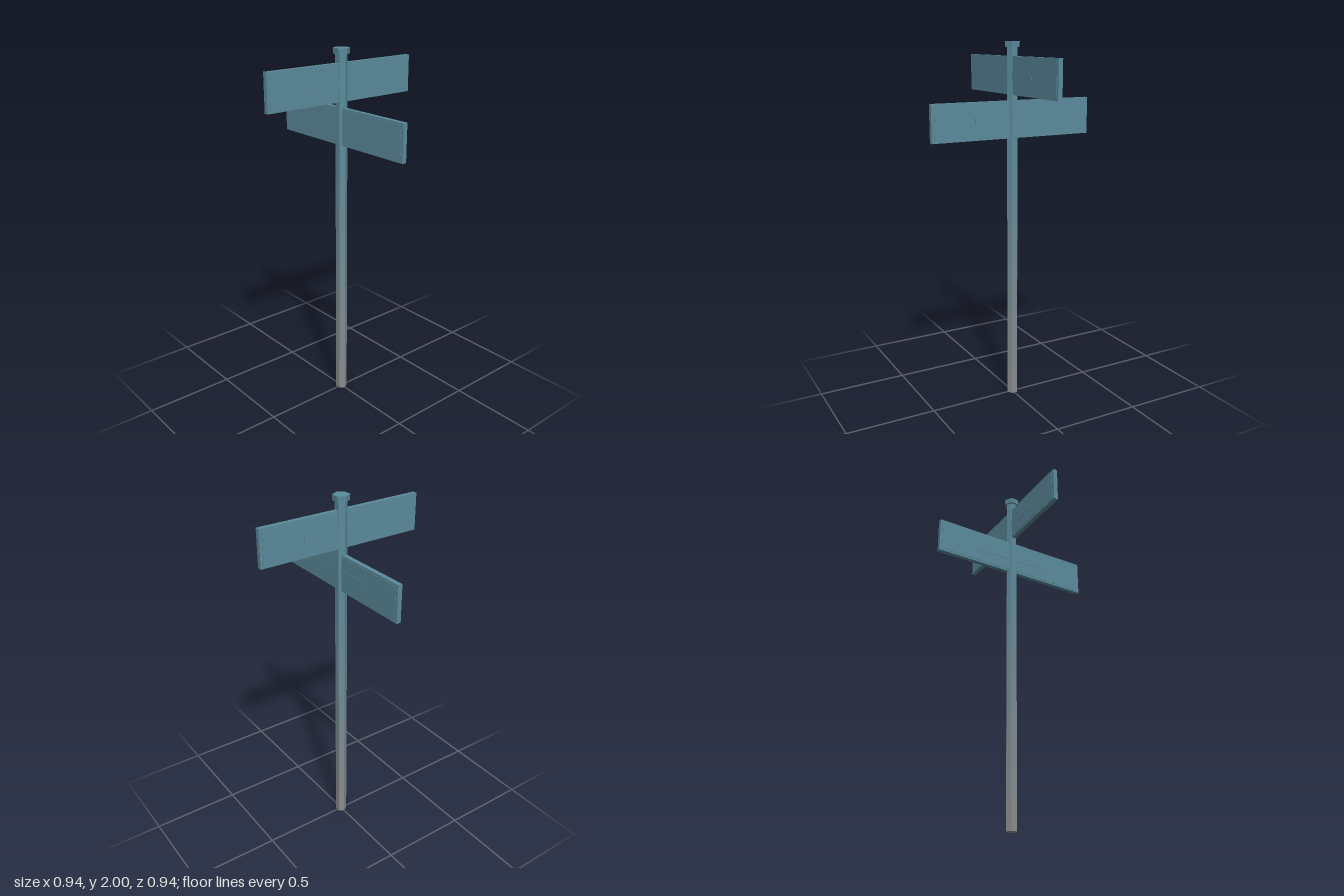
import * as THREE from 'three';

const BLUE = new THREE.Color(0x5b8b9c);
const GREY = new THREE.Color(0x8c8c8c);

const paint = (color) => new THREE.MeshStandardMaterial({ color, flatShading: true });

function addMesh(parent, name, geometry, material, y = 0) {
  const mesh = new THREE.Mesh(geometry, material);
  mesh.name = name;
  mesh.position.y = y;
  parent.add(mesh);
  return mesh;
}

// Street blade: thin core, raised face panel and a slightly prouder name strip
function signBoard(name, material) {
  const board = new THREE.Group();
  board.name = name;
  addMesh(board, 'boardCore', new THREE.BoxGeometry(0.945, 0.2, 0.025), material);
  addMesh(board, 'facePanel', new THREE.BoxGeometry(0.912, 0.178, 0.029), material);
  addMesh(board, 'nameStrip', new THREE.BoxGeometry(0.45, 0.04, 0.032), material);
  return board;
}

export function createModel() {
  const model = new THREE.Group();
  model.name = 'signpost';
  const blue = paint(BLUE);

  // Hexagonal pole, stacked in short lengths that fade from grey to blue
  const pole = new THREE.Group();
  pole.name = 'pole';
  const radius = 0.032, top = 1.975, steps = 12, h = top / steps;
  for (let i = 0; i < steps; i++) {
    const fade = Math.min(1, (i + 0.5) / (steps * 0.75));
    const color = GREY.clone().lerp(BLUE, fade);
    addMesh(pole, 'poleLength', new THREE.CylinderGeometry(radius, radius, h, 6, 1, true),
      paint(color), (i + 0.5) * h);
  }
  const foot = addMesh(pole, 'poleFoot', new THREE.CircleGeometry(radius, 6), paint(GREY));
  foot.rotation.set(Math.PI / 2, 0, Math.PI / 6);
  model.add(pole);

  // Hexagonal cap
  addMesh(model, 'cap', new THREE.CylinderGeometry(0.045, 0.043, 0.03, 6), blue, 1.985);

  // Two crossed boards, the lower one turned a quarter
  const upper = signBoard('upperBoard', blue);
  upper.position.y = 1.825;
  const lower = signBoard('lowerBoard', blue);
  lower.position.y = 1.595;
  lower.rotation.y = Math.PI / 2;
  model.add(upper, lower);

  return model;
}
